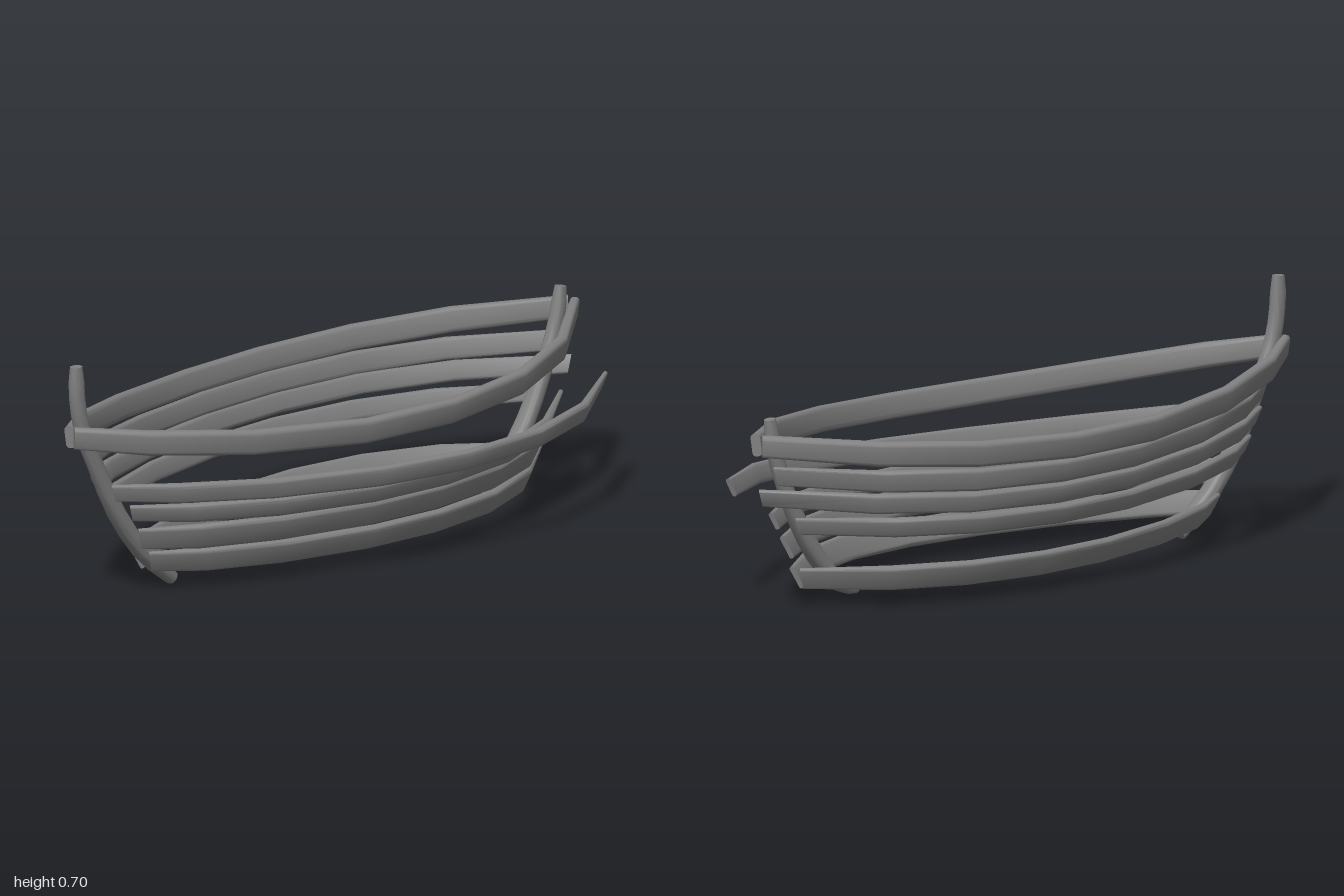
import * as THREE from 'three';
import { toCreasedNormals } from 'three/addons/utils/BufferGeometryUtils.js';

const material = new THREE.MeshStandardMaterial({ color: 0x808080 });
const MID = -0.02; // z of the centre plane

// Outline of a rounded rectangle, counter-clockwise
function section(a, b, r) {
  const pts = [];
  for (let c = 0; c < 4; c++) {
    const sx = c === 0 || c === 3 ? 1 : -1, sy = c < 2 ? 1 : -1;
    for (let k = 0; k < 4; k++) {
      const ang = (c + k / 3) * Math.PI / 2;
      pts.push([sx * (a - r) + r * Math.cos(ang), sy * (b - r) + r * Math.sin(ang)]);
    }
  }
  return pts;
}

// Solid bar through rings { c: centre, u: up axis, a: half thickness, b: half height }
function bar(name, rings) {
  const pos = [], idx = [], last = rings.length - 1;
  let n = 0;
  rings.forEach((ring, i) => {
    const t = rings[Math.min(i + 1, last)].c.clone().sub(rings[Math.max(i - 1, 0)].c);
    const side = ring.u.clone().cross(t).normalize();
    const outline = section(ring.a, ring.b, Math.min(ring.a, ring.b) * 0.8);
    n = outline.length;
    for (const [p, q] of outline) {
      const v = ring.c.clone().addScaledVector(side, p).addScaledVector(ring.u, q);
      pos.push(v.x, v.y, v.z);
    }
  });
  for (let i = 0; i < last; i++) {
    for (let j = 0; j < n; j++) {
      const k = (j + 1) % n, A = i * n, B = A + n;
      idx.push(A + j, A + k, B + j, A + k, B + k, B + j);
    }
  }
  for (let j = 1; j < n - 1; j++) {
    idx.push(0, j + 1, j, last * n, last * n + j, last * n + j + 1);
  }
  const g = new THREE.BufferGeometry();
  g.setAttribute('position', new THREE.Float32BufferAttribute(pos, 3));
  g.setIndex(idx);
  const mesh = new THREE.Mesh(toCreasedNormals(g, 0.65), material);
  mesh.name = name;
  return mesh;
}

// Share of full breadth along the hull's length
const LENGTH = [0, 0.087, 0.23, 0.41, 0.57, 0.73, 0.87, 1];
const BREADTH = [0, 0.34, 0.69, 0.94, 1, 0.88, 0.56, 0];

// x: ends, y: heights at [left end, middle, right end], w: half breadths likewise
function plank(name, side, { x, y, w, h, lean, swing = 0, thick = 0.013, slant = 0.45, taper = 0.5 }) {
  return bar(name, LENGTH.map((t, i) => {
    const px = THREE.MathUtils.lerp(x[0], x[1], t);
    const s = 2 * t - 1, end = s < 0 ? 0 : 2;
    const py = y[1] + (y[end] - y[1]) * s * s;
    const base = THREE.MathUtils.lerp(w[0], w[2], t);
    const pz = MID + side * (base + (w[1] - base) * BREADTH[i] + swing * t ** 1.4);
    const tip = i === 0 || i === LENGTH.length - 1;
    return {
      c: new THREE.Vector3(px, py, pz),
      u: new THREE.Vector3(slant * s * s * s, 1, side * lean * (1 - 0.5 * s * s)),
      a: thick * (tip ? taper : 1), b: h / 2 * (tip ? 0.88 : 1),
    };
  }));
}

// Curved end post; points are [x, y, half depth, half width]
function stem(name, points) {
  const curve = new THREE.CatmullRomCurve3(points.map(p => new THREE.Vector3(p[0], p[1], MID)));
  const rings = [], steps = (points.length - 1) * 2;
  for (let i = 0; i <= steps; i++) {
    const k = Math.min(Math.floor(i / 2), points.length - 2), f = i / 2 - k;
    const tip = i === 0 || i === steps ? 0.8 : 1;
    rings.push({
      c: curve.getPoint(i / steps),
      u: new THREE.Vector3(0, 0, 1),
      a: tip * THREE.MathUtils.lerp(points[k][2], points[k + 1][2], f),
      b: tip * THREE.MathUtils.lerp(points[k][3], points[k + 1][3], f),
    });
  }
  return bar(name, rings);
}

export function createModel() {
  const boat = new THREE.Group();
  boat.name = 'boatFrame';

  // Strakes from the bottom up; some are missing on one side
  const strakes = [
    { name: 'bottomStrake', sides: [1, -1], x: [-0.7, 0.835], y: [0.091, 0.084, 0.089], w: [0.025, 0.278, 0.01], h: 0.07, lean: 0.55 },
    { name: 'secondStrake', sides: [1], x: [-0.755, 0.84], y: [0.17, 0.165, 0.17], w: [0.04, 0.306, 0.045], h: 0.073, lean: 0.45 },
    { name: 'thirdStrake', sides: [1, -1], x: [-0.8, 0.885], y: [0.255, 0.232, 0.25], w: [0.05, 0.342, 0.048], h: 0.055, lean: 0.4 },
    { name: 'fourthStrake', sides: [-1], x: [-0.84, 0.96], y: [0.33, 0.296, 0.33], w: [0.05, 0.36, -0.02], h: 0.057, lean: 0.3 },
    { name: 'looseStrake', sides: [1], x: [-0.865, 0.91], y: [0.325, 0.295, 0.326], w: [0.045, 0.345, 0.02], h: 0.058, lean: 0.3, swing: 0.178 },
    { name: 'fifthStrake', sides: [-1], x: [-0.845, 0.94], y: [0.405, 0.358, 0.395], w: [0.07, 0.364, 0.02], h: 0.063, lean: 0.2 },
    { name: 'gunwale', sides: [1, -1], x: [-0.983, 0.985], y: [0.5, 0.427, 0.485], w: [0.008, 0.373, 0.012], h: 0.072, lean: 0.2, thick: 0.017, slant: 0.08, taper: 0.8 },
  ];
  for (const s of strakes) {
    for (const side of s.sides) boat.add(plank((side > 0 ? 'front ' : 'back ') + s.name, side, s));
  }

  // Tall post on one end, short post on the other
  boat.add(stem('tallStem', [
    [-0.592, 0.018, 0.023, 0.026], [-0.71, 0.12, 0.023, 0.028], [-0.81, 0.25, 0.022, 0.027],
    [-0.89, 0.4, 0.022, 0.022], [-0.945, 0.52, 0.022, 0.021], [-0.963, 0.61, 0.022, 0.02],
    [-0.967, 0.702, 0.021, 0.019],
  ]));
  boat.add(stem('shortStem', [
    [0.625, 0.033, 0.018, 0.025], [0.68, 0.05, 0.021, 0.027], [0.77, 0.14, 0.022, 0.029],
    [0.84, 0.25, 0.022, 0.026], [0.895, 0.37, 0.022, 0.022], [0.93, 0.47, 0.021, 0.02],
    [0.945, 0.555, 0.02, 0.019],
  ]));
  return boat;
}
